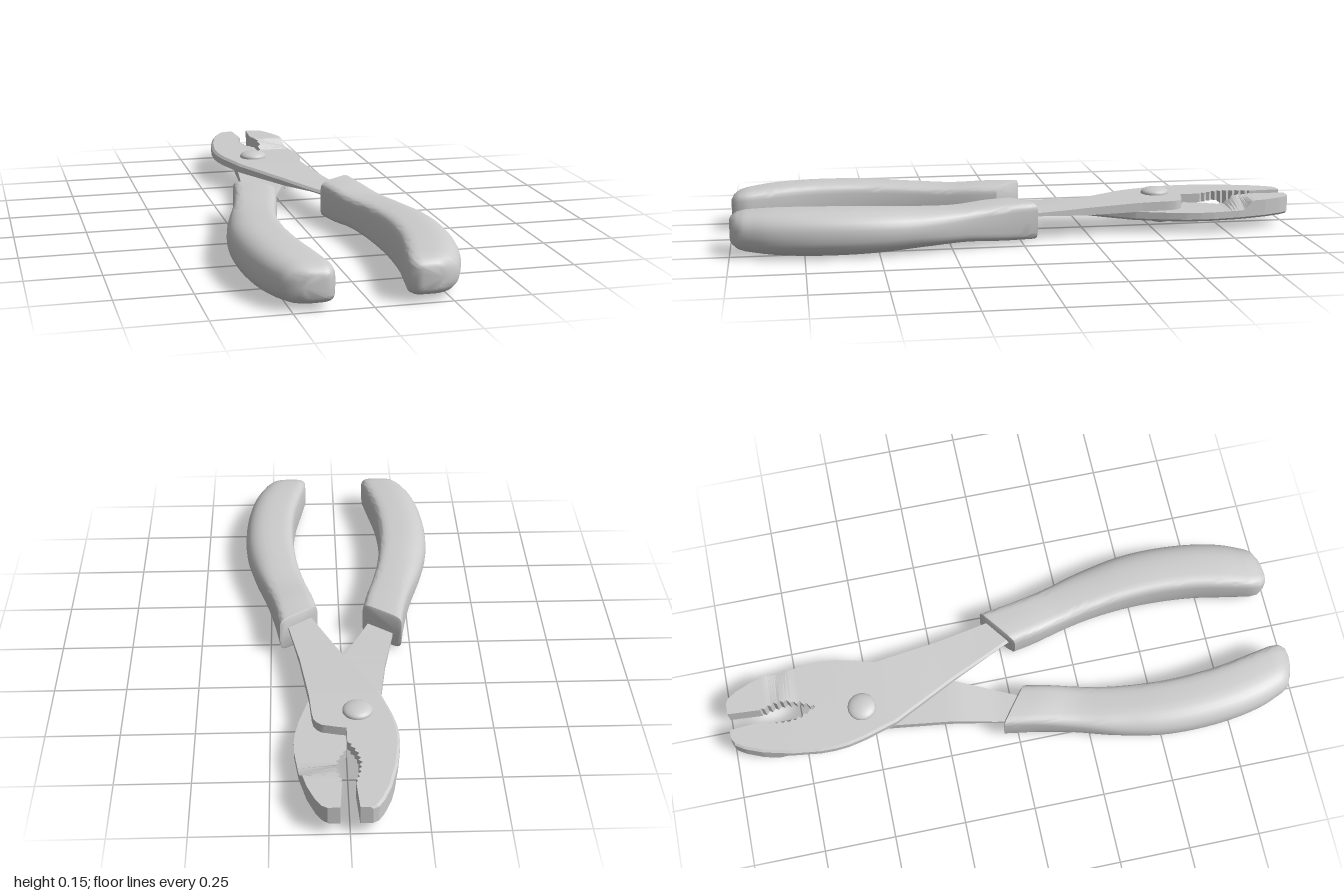
import * as THREE from 'three';
import { toCreasedNormals } from 'three/addons/utils/BufferGeometryUtils.js';

const MID = 0.0775; // height of the plane where the two halves meet
const material = new THREE.MeshStandardMaterial({ color: 0xcccccc });
const { lerp, smoothstep } = THREE.MathUtils;

// Skin equal-length rings that advance along +z, with both ends closed
function loft(rings, crease) {
  const n = rings[0].length;
  const pos = rings.flat(2);
  const idx = [];
  for (let i = 0; i < rings.length - 1; i++) {
    for (let j = 0; j < n; j++) {
      const k = (j + 1) % n;
      const a = i * n + j, b = i * n + k, c = a + n, d = b + n;
      idx.push(a, b, c, b, d, c);
    }
  }
  const last = (rings.length - 1) * n;
  for (let j = 1; j < n - 1; j++) {
    idx.push(0, j + 1, j, last, last + j, last + j + 1);
  }
  const geo = new THREE.BufferGeometry();
  geo.setAttribute('position', new THREE.Float32BufferAttribute(pos, 3));
  geo.setIndex(idx);
  return toCreasedNormals(geo, crease);
}

// Piecewise linear lookup in a list of [z, x]
function lookup(line, z) {
  let i = 0;
  while (i < line.length - 2 && z > line[i + 1][0]) i++;
  const [z0, x0] = line[i], [z1, x1] = line[i + 1];
  return lerp(x0, x1, (z - z0) / (z1 - z0));
}

// Outer edge: jaw back, then diagonally across to the handle
const outerEdge = [
  [-1, -0.07], [-0.99, -0.088], [-0.96, -0.107], [-0.9, -0.132], [-0.8, -0.157],
  [-0.7, -0.17], [-0.65, -0.171], [-0.6, -0.167], [-0.54, -0.154], [-0.42, -0.118],
  [-0.19, 0], [0.03, 0.1], [0.1, 0.125],
];

// Inner edge: jaw tip, serrated mouth, shoulder, handle side
const innerEdge = [[-1, -0.03], [-0.885, -0.022]];
const mouth = [[-0.88, -0.024], [-0.84, -0.036], [-0.79, -0.042], [-0.74, -0.032], [-0.7, -0.01]];
for (let i = 0; i <= 16; i++) {
  const z = lerp(-0.88, -0.7, i / 16);
  innerEdge.push([z, lookup(mouth, z) + (i % 2 ? 0.006 : -0.004)]);
}
innerEdge.push([-0.69, -0.001], [-0.618, -0.001], [-0.612, 0.03], [-0.6, 0.08], [-0.588, 0.095],
  [-0.57, 0.106], [-0.54, 0.111], [-0.45, 0.118], [-0.23, 0.148], [-0.04, 0.185], [0.1, 0.205]);

// Upper and lower faces of the steel
const topY = (z) => lerp(0.11, 0.1, smoothstep(z, -0.5, -0.05));
function bottomY(x, z) {
  const jaw = smoothstep(z - 0.42 * x, -0.795, -0.74);
  const taper = Math.max(0, z + 0.18 + 0.33 * x);
  return lerp(0.045, MID, jaw) + Math.min(0.01, taper * 0.06);
}

function steelGeometry() {
  const zs = [...outerEdge, ...innerEdge].map((p) => p[0]);
  for (let z = -0.99; z < 0.1; z += 0.0125) zs.push(z);
  zs.sort((a, b) => a - b);
  const rings = zs.filter((z, i) => i === 0 || z - zs[i - 1] > 1e-4).map((z) => {
    const l = lookup(outerEdge, z), r = lookup(innerEdge, z), t = topY(z);
    return [
      [l, bottomY(l, z), z], [r, bottomY(r, z), z], [r, t, z],
      [l + 0.009, t, z], [l, t - 0.008, z],
    ];
  });
  return loft(rings, 0.45);
}

// Grip sections: inner x, inner z, outer x, outer z, half height
const gripSections = [
  [0.081, 0.05, 0.217, -0.052, 0.066],
  [0.097, 0.13, 0.236, 0.06, 0.065],
  [0.125, 0.24, 0.268, 0.19, 0.058],
  [0.148, 0.35, 0.312, 0.33, 0.063],
  [0.163, 0.48, 0.342, 0.47, 0.071],
  [0.165, 0.6, 0.35, 0.6, 0.0755],
  [0.155, 0.73, 0.34, 0.75, 0.0765],
  [0.135, 0.84, 0.315, 0.87, 0.073],
  [0.115, 0.94, 0.283, 0.95, 0.065],
];

function gripGeometry() {
  const inner = new THREE.CatmullRomCurve3(gripSections.map((s) => new THREE.Vector3(s[0], s[4], s[1])));
  const outer = new THREE.CatmullRomCurve3(gripSections.map((s) => new THREE.Vector3(s[2], s[4], s[3])));
  const ring = (a, b, h, t) => {
    const points = [];
    for (let j = 0; j < 32; j++) {
      const angle = (j / 32) * Math.PI * 2;
      const c = Math.cos(angle), s = Math.sin(angle);
      // Boxy at the mouth, rounder on the outside of the swell
      const e = 2 / (c > 0 ? lerp(6, 2.4, smoothstep(t, 0, 0.45)) : 5);
      const u = 0.5 + 0.5 * Math.sign(c) * Math.abs(c) ** e;
      const v = Math.sign(s) * Math.abs(s) ** e;
      points.push([lerp(a.x, b.x, u), MID + h * v, lerp(a.z, b.z, u)]);
    }
    return points;
  };
  const v = (x, z) => new THREE.Vector3(x, 0, z);
  const rings = [ring(v(0.09, 0.037), v(0.207, -0.05), 0.057, 0)];
  for (let i = 0; i <= 40; i++) {
    const a = inner.getPoint(i / 40), b = outer.getPoint(i / 40);
    rings.push(ring(a, b, a.y, i / 40));
  }
  // Rounded butt end
  rings.push(ring(v(0.115, 0.972), v(0.27, 0.972), 0.058, 1));
  rings.push(ring(v(0.13, 0.994), v(0.235, 0.99), 0.045, 1));
  rings.push(ring(v(0.15, 1.0), v(0.215, 0.995), 0.035, 1));
  return loft(rings, 0.75);
}

// Domed pivot head
function rivetGeometry() {
  const profile = [new THREE.Vector2(0.05, -0.01)];
  for (let i = 0; i <= 8; i++) {
    const a = (i / 8) * Math.PI / 2;
    profile.push(new THREE.Vector2(0.05 * Math.cos(a), 0.004 + 0.019 * Math.sin(a)));
  }
  return new THREE.LatheGeometry(profile, 32);
}

export function createModel() {
  const model = new THREE.Group();
  model.name = 'slipJointPliers';
  const parts = { jawAndArm: steelGeometry(), grip: gripGeometry(), rivetHead: rivetGeometry() };

  // The second half is the first turned half a turn about the long axis
  ['upperHalf', 'lowerHalf'].forEach((name, i) => {
    const half = new THREE.Group();
    half.name = name;
    for (const [part, geometry] of Object.entries(parts)) {
      const mesh = new THREE.Mesh(geometry, material);
      mesh.name = part;
      if (part === 'rivetHead') mesh.position.set(-0.04, 0.11, -0.53);
      half.add(mesh);
    }
    if (i === 1) {
      half.rotation.z = Math.PI;
      half.position.y = 2 * MID;
    }
    model.add(half);
  });
  return model;
}
